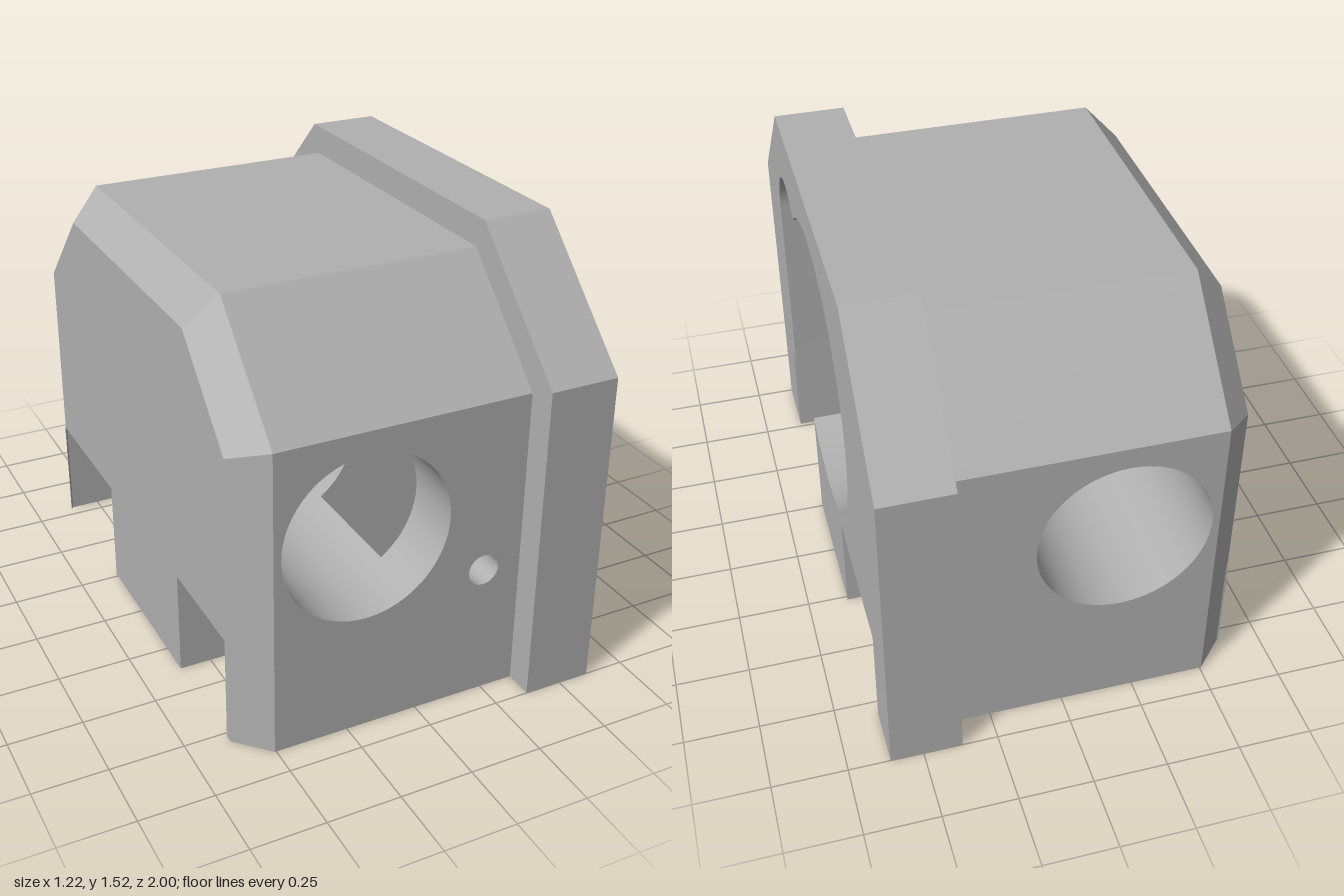
import * as THREE from 'three';
import { toCreasedNormals } from 'three/addons/utils/BufferGeometryUtils.js';

// Main stations along x
const END = -0.61, CHAMFER = -0.505, SLOT_END = -0.023, STEP = 0.37, FRONT = 0.61;
// Underside channels
const ROOF = 0.37;

const steel = new THREE.MeshStandardMaterial({ color: 0xb0b0b0, side: THREE.DoubleSide });
steel.name = 'machined grey';

// Plane axes: x uses (z, y), y uses (x, z), z uses (x, y)
const place = {
  x: (u, v, w) => [w, v, u],
  y: (u, v, w) => [u, w, v],
  z: (u, v, w) => [u, v, w],
};

function addMesh(parent, name, geometry) {
  const mesh = new THREE.Mesh(geometry, steel);
  mesh.name = name;
  parent.add(mesh);
}

// Flat face with optional holes, looking along dir on the given axis
function face(parent, name, axis, w, dir, points, holes = []) {
  const toPath = (list) => list.map(([u, v]) => new THREE.Vector2(u, v));
  const shape = new THREE.Shape(toPath(points));
  for (const hole of holes) shape.holes.push(new THREE.Path(toPath(hole)));
  const geometry = new THREE.ShapeGeometry(shape);
  const p = geometry.attributes.position;
  for (let i = 0; i < p.count; i++) p.setXYZ(i, ...place[axis](p.getX(i), p.getY(i), w));
  const mirrored = axis !== 'z';
  if ((dir > 0) === mirrored) geometry.index.array.reverse();
  geometry.computeVertexNormals();
  addMesh(parent, name, geometry);
}

// Wall swept along an axis; the solid lies left of the path
function wall(parent, name, axis, a, b, path, closed = false, endPath = path) {
  const data = [];
  const n = path.length;
  for (let i = 0; i < (closed ? n : n - 1); i++) {
    const j = (i + 1) % n;
    const p = place[axis](...path[i], a), q = place[axis](...path[j], a);
    const r = place[axis](...endPath[j], b), s = place[axis](...endPath[i], b);
    data.push(...(axis === 'z' ? [p, q, r, p, r, s] : [p, r, q, p, s, r]).flat());
  }
  const geometry = new THREE.BufferGeometry();
  geometry.setAttribute('position', new THREE.Float32BufferAttribute(data, 3));
  addMesh(parent, name, toCreasedNormals(geometry, 0.4));
}

function arc(cx, cy, r, from, to, steps = 64) {
  return Array.from({ length: steps + 1 }, (_, i) => {
    const t = from + (to - from) * i / steps;
    return [cx + r * Math.cos(t), cy + r * Math.sin(t)];
  });
}
const circle = (cx, cy, r) => arc(cx, cy, r, 0, -Math.PI * 2).slice(0, -1);
// Closed profile from its +z half, running bottom to top
const mirrorZ = (half) => [...half, ...half.map(([z, y]) => [-z, y]).reverse()];

export function createModel() {
  const model = new THREE.Group();
  model.name = 'bearingBlock';
  const part = (name) => {
    const group = new THREE.Group();
    group.name = name;
    model.add(group);
    return group;
  };

  // Shared profiles
  const flangeOutline = mirrorZ([[1, 0], [1, 1.11], [0.585, 1.52]]);
  const bodyOutline = mirrorZ([[0.9, 0], [0.9, 1.065], [0.545, 1.42]]);
  const endOutline = mirrorZ([[0.793, 0], [0.793, 1.021], [0.501, 1.313]]);
  const backChannel = [[-0.8, 0], [-0.8, ROOF], [-0.265, ROOF], [-0.265, 0]];

  // Round recess, and where the slot crosses it
  const rz = 0.26, rr = 0.507, ry = 0.87;
  const low = -Math.acos(rz / rr), high = 0.859 - Math.PI * 2;
  const recessArc = arc(0, ry, rr, low, high);
  const archAt = (from, to, steps = 32) => arc(0.475, 1.095, 0.215, from, to, steps);
  const crossing = 2.308;

  // Flange
  const flange = part('flange');
  const flangeFace = [
    ...flangeOutline, ...backChannel, [rz, 0],
    ...recessArc, ...archAt(crossing, 0).slice(1),
    [0.69, ROOF], [0.765, ROOF], [0.765, 0],
  ];
  face(flange, 'flangeFace', 'x', FRONT, 1, flangeFace);
  wall(flange, 'flangeEdges', 'x', STEP, FRONT, flangeFace, true);
  face(flange, 'flangeShoulder', 'x', STEP, -1, [...flangeOutline, ...[...bodyOutline].reverse()]);
  face(flange, 'recessFloor', 'x', STEP, 1, [...recessArc, ...archAt(crossing, Math.PI, 12).slice(1)]);

  // Cross bore and pin hole
  const bx = -0.19, by = 0.7, br = 0.29;
  const cut = Math.acos((SLOT_END - bx) / br), cutH = br * Math.sin(cut);
  const bore = circle(bx, by, br), pin = circle(0.235, 0.465, 0.055);

  // Body shell
  const body = part('body');
  const side = [[CHAMFER, 0], [STEP, 0], [STEP, 1.065], [CHAMFER, 1.065]];
  face(body, 'frontSide', 'z', 0.9, 1, side, [bore, pin]);
  face(body, 'backSide', 'z', -0.9, -1, side, [bore]);
  wall(body, 'roof', 'x', CHAMFER, STEP, bodyOutline.slice(1, 5));
  wall(body, 'endChamfer', 'x', END, CHAMFER, endOutline, false, bodyOutline);
  face(body, 'endFace', 'x', END, -1, [
    ...endOutline.slice(0, 5), [-0.793, ROOF], [-0.265, ROOF], [-0.265, 0],
    [0.375, 0], [0.375, ROOF], [0.765, ROOF], [0.765, 0],
  ]);

  // Underside
  const base = part('base');
  face(base, 'frontFoot', 'y', 0, -1,
    [[END, 0.765], [STEP, 0.765], [STEP, 0.9], [CHAMFER, 0.9], [END, 0.793]]);
  face(base, 'backFoot', 'y', 0, -1, [[STEP, -0.8], [STEP, -0.9], [CHAMFER, -0.9], [-0.603, -0.8]]);
  face(base, 'centreFoot', 'y', 0, -1, [
    [END, -0.265], [STEP, -0.265], [STEP, rz], [SLOT_END, rz], [SLOT_END, 0.375], [END, 0.375],
  ]);
  wall(base, 'backChannel', 'x', END, STEP, backChannel);
  wall(base, 'frontChannelOuter', 'x', END, STEP, [[0.69, ROOF], [0.765, ROOF], [0.765, 0]]);
  wall(base, 'frontChannelInner', 'x', END, SLOT_END, [[0.375, 0], [0.375, ROOF], [0.69, ROOF]]);

  // Arched slot running in to the bore
  const slot = part('slot');
  const slotSide = (bottom) => [
    [SLOT_END, bottom], [STEP, bottom], [STEP, 1.095], [SLOT_END, 1.095],
    ...arc(bx, by, br, cut, -cut, 24),
  ];
  face(slot, 'slotInnerSide', 'z', rz, 1, slotSide(0));
  face(slot, 'slotOuterSide', 'z', 0.69, -1, slotSide(ROOF), [pin]);
  wall(slot, 'slotArch', 'x', SLOT_END, STEP, archAt(Math.PI, 0));
  face(slot, 'slotEndUpper', 'x', SLOT_END, 1,
    [[rz, by + cutH], [0.69, by + cutH], ...archAt(0, Math.PI)]);
  face(slot, 'slotEndLower', 'x', SLOT_END, 1, [
    [rz, 0], [0.375, 0], [0.375, ROOF], [0.69, ROOF], [0.69, by - cutH], [rz, by - cutH],
  ]);

  // Bore and pin hole walls
  const holes = part('holes');
  wall(holes, 'boreBack', 'z', -0.9, rz, bore, true);
  wall(holes, 'boreMiddle', 'z', rz, 0.69, arc(bx, by, br, -cut, cut - Math.PI * 2, 48));
  wall(holes, 'boreFront', 'z', 0.69, 0.9, bore, true);
  wall(holes, 'pinHole', 'z', 0.69, 0.9, pin, true);

  return model;
}
